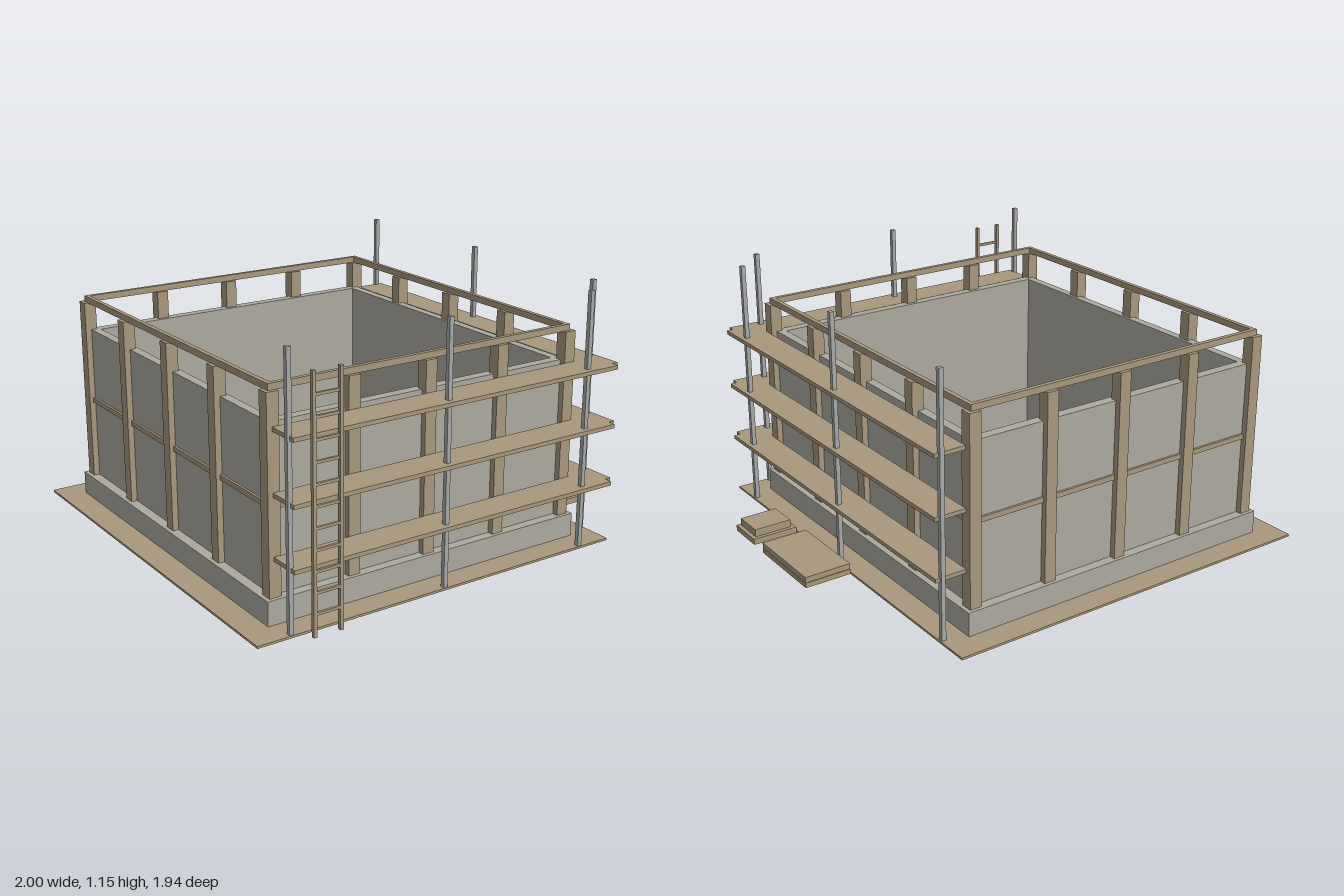
import * as THREE from 'three';

export function createModel() {
  const model = new THREE.Group();
  model.name = 'formworkSite';

  const mat = (name, color) => {
    const m = new THREE.MeshStandardMaterial({ color });
    m.name = name;
    return m;
  };
  const timber = mat('timber', 0xa8977c);
  const concrete = mat('concrete', 0xacaa9e);
  const steel = mat('steel', 0xa6a9a6);

  // Box from its lower and upper corners
  const box = (name, m, x0, x1, y0, y1, z0, z1, parent = model) => {
    const mesh = new THREE.Mesh(new THREE.BoxGeometry(x1 - x0, y1 - y0, z1 - z0), m);
    mesh.position.set((x0 + x1) / 2, (y0 + y1) / 2, (z0 + z1) / 2);
    mesh.name = name;
    parent.add(mesh);
    return mesh;
  };
  const group = (name) => {
    const g = new THREE.Group();
    g.name = name;
    model.add(g);
    return g;
  };

  // Centre of the enclosure
  const CX = -0.105, CZ = -0.025;

  // Rectangular ring, given outer and inner half sizes
  const ring = (name, m, ox, oz, ix, iz, y0, y1) => {
    const rect = (P, a, b) => new P().setFromPoints(
      [[-a, -b], [a, -b], [a, b], [-a, b]].map(([x, y]) => new THREE.Vector2(x, y)));
    const shape = rect(THREE.Shape, ox, oz);
    shape.holes.push(rect(THREE.Path, ix, iz));
    const geo = new THREE.ExtrudeGeometry(shape, { depth: y1 - y0, bevelEnabled: false });
    geo.rotateX(-Math.PI / 2);
    const mesh = new THREE.Mesh(geo, m);
    mesh.position.set(CX, y0, CZ);
    mesh.name = name;
    model.add(mesh);
  };

  // Ground slab, plinth, walls and horizontal rails
  box('groundSheet', timber, -1, 0.785, 0, 0.01, -0.97, 0.92);
  ring('plinth', concrete, 0.78, 0.833, 0.695, 0.745, 0.004, 0.115);
  ring('walls', concrete, 0.735, 0.79, 0.695, 0.745, 0.115, 0.82);
  ring('middleRail', timber, 0.745, 0.8, 0.725, 0.78, 0.473, 0.496);
  ring('topRail', timber, 0.745, 0.8, 0.725, 0.78, 0.945, 0.973);

  // Upright studs, five along each side
  const studs = group('studs');
  const w = 0.027;
  const stud = (x, z) => box('stud', timber, x - w, x + w, 0.115, 0.946, z - w, z + w, studs);
  for (let i = 0; i < 5; i++) {
    const t = i / 2 - 1;
    for (const s of [-1, 1]) {
      stud(CX + t * 0.735, CZ + s * 0.79);
      if (i > 0 && i < 4) stud(CX + s * 0.735, CZ + t * 0.79);
    }
  }

  // Scaffold decks on the front and the left side
  const decks = group('scaffoldDecks');
  for (const y of [0.268, 0.53, 0.792]) {
    box('frontDeck', timber, -0.845, 0.77, y, y + 0.018, 0.792, 0.94, decks);
    box('sideDeck', timber, 0.657, 0.80, y, y + 0.018, -0.815, 0.905, decks);
  }

  // Scaffold poles
  const poles = group('scaffoldPoles');
  const spots = [[-0.845, 0.905], [-0.107, 0.905], [0.628, 0.905],
    [0.77, 0.765], [0.77, -0.025], [0.77, -0.815]];
  for (const [x, z] of spots) {
    box('pole', steel, x - 0.01, x + 0.01, 0, 1.147, z - 0.01, z + 0.01, poles);
  }

  // Ladder
  const ladder = group('ladder');
  for (const x of [-0.78, -0.659]) {
    box('ladderRail', timber, x, x + 0.015, 0, 1.06, 0.953, 0.97, ladder);
  }
  for (let i = 0; i < 11; i++) {
    const y = 0.09 + i * 0.0872;
    box('rung', timber, -0.77, -0.65, y, y + 0.012, 0.956, 0.967, ladder);
  }

  // Stacked boards beside the enclosure
  const stacks = group('boardStacks');
  box('longBoardLower', timber, 0.785, 1, 0, 0.023, -0.13, 0.257, stacks);
  box('longBoardUpper', timber, 0.785, 1, 0.025, 0.05, -0.13, 0.257, stacks);
  box('shortBoardLower', timber, 0.785, 0.997, 0, 0.027, 0.347, 0.521, stacks);
  box('shortBoardUpper', timber, 0.805, 0.98, 0.027, 0.062, 0.365, 0.507, stacks);

  return model;
}
